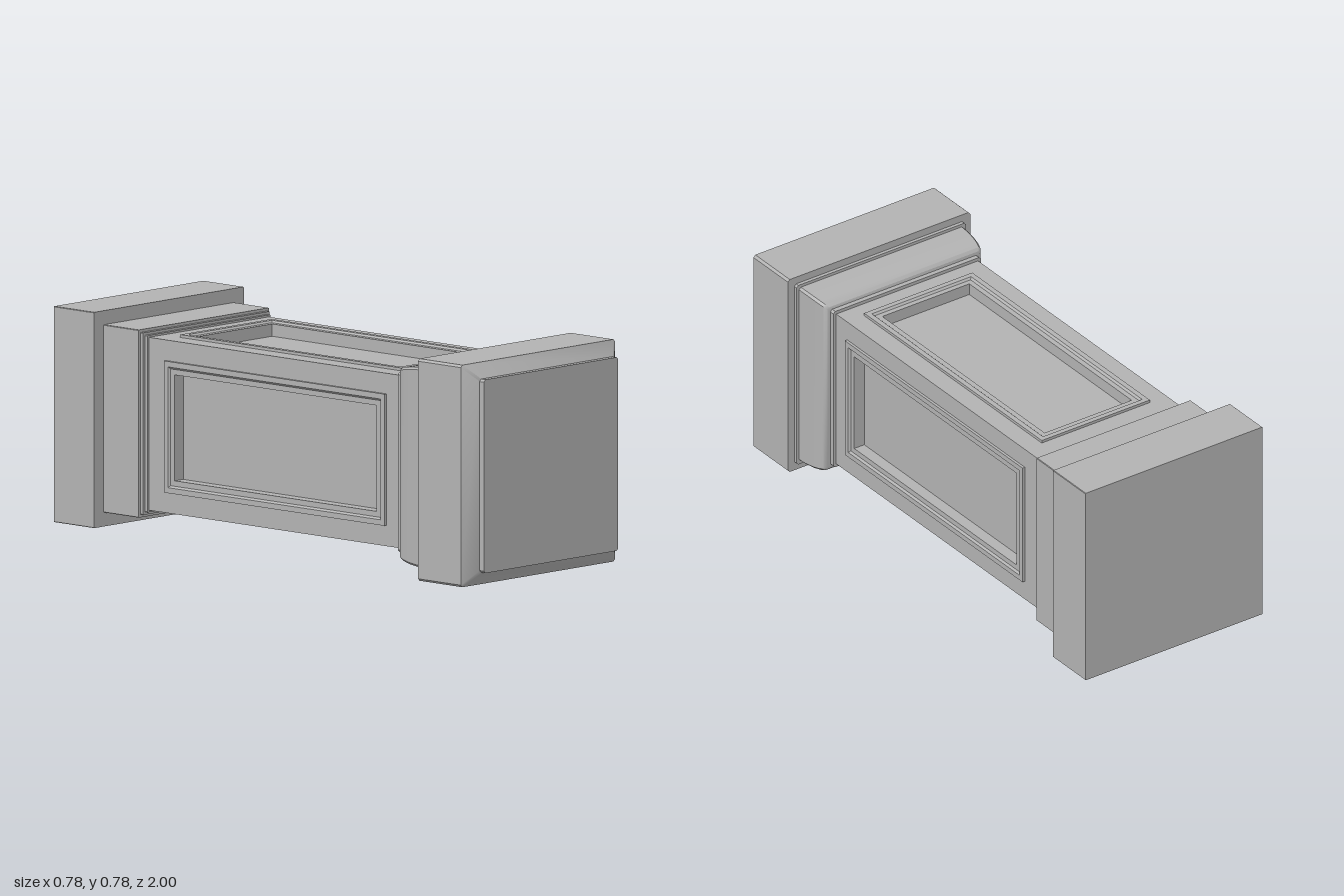
import * as THREE from 'three';
import { toCreasedNormals } from 'three/addons/utils/BufferGeometryUtils.js';

const MID = 0.39; // height of the long axis

// Square loft: profile is [halfWidth, height] from bottom to top,
// r cuts the corners, stretch lengthens the square along z.
function squareLoft(profile, r = 0, stretch = 0) {
  const geo = new THREE.LatheGeometry(profile.map(([h, y]) => new THREE.Vector2(h, y)), 8);
  const pos = geo.attributes.position;
  for (let v = 0; v < pos.count; v++) {
    const i = Math.floor(v / profile.length) % 8;
    const h = profile[v % profile.length][0];
    const c = Math.max(h - r, 0);
    const sx = i < 4 ? 1 : -1;
    const sz = i < 2 || i > 5 ? 1 : -1;
    const onX = i % 4 === 1 || i % 4 === 2; // vertex lies on an x side
    pos.setX(v, sx * (onX ? h : c));
    pos.setZ(v, sz * ((onX ? c : h) + stretch));
  }
  return toCreasedNormals(geo, 0.6);
}

function rectangle(target, hx, hy) {
  target.moveTo(-hx, -hy);
  target.lineTo(hx, -hy);
  target.lineTo(hx, hy);
  target.lineTo(-hx, hy);
  target.closePath();
  return target;
}

export function createModel() {
  const model = new THREE.Group();
  model.name = 'pedestal';
  const stone = new THREE.MeshStandardMaterial({ color: 0xb2b2b2 });
  stone.name = 'grey stone';

  const add = (parent, name, geo) => {
    const mesh = new THREE.Mesh(geo, stone);
    mesh.name = name;
    parent.add(mesh);
    return mesh;
  };

  // Stepped base at the back
  const base = add(model, 'steppedBase', squareLoft([
    [0, -1], [0.377, -1], [0.377, -0.81], [0.328, -0.81], [0.328, -0.645],
    [0.318, -0.645], [0.318, -0.632], [0.309, -0.632], [0.309, -0.62], [0, -0.62],
  ], 0.002));

  // Moulded capital at the front, with its chamfered end
  const capital = add(model, 'mouldedCapital', squareLoft([
    [0, 0.57], [0.314, 0.57], [0.314, 0.588], [0.325, 0.59], [0.334, 0.6],
    [0.34, 0.62], [0.345, 0.65], [0.349, 0.69], [0.35, 0.722], [0.361, 0.722],
    [0.361, 0.735], [0.388, 0.735], [0.388, 0.938], [0.34, 0.98], [0.338, 0.98],
    [0.338, 1], [0, 1],
  ], 0.008));

  for (const block of [base, capital]) {
    block.rotation.x = Math.PI / 2;
    block.position.y = MID;
  }

  // Shaft: four faces, each with an opening for a sunken framed panel
  const faceShape = rectangle(new THREE.Shape(), 0.302, 0.61);
  faceShape.holes.push(rectangle(new THREE.Path(), 0.21, 0.5025));
  const faceGeo = new THREE.ShapeGeometry(faceShape);
  faceGeo.rotateX(-Math.PI / 2);
  faceGeo.translate(0, 0.302, 0);
  const panelGeo = squareLoft([
    [0.23, 0.3], [0.23, 0.312], [0.211, 0.312], [0.204, 0.305],
    [0.185, 0.305], [0.185, 0.262], [0, 0.262],
  ], 0, 0.2925);

  for (let k = 0; k < 4; k++) {
    const side = new THREE.Group();
    side.name = 'shaftSide' + (k + 1);
    add(side, 'shaftFace', faceGeo);
    add(side, 'sunkenPanel', panelGeo);
    side.rotation.z = k * Math.PI / 2;
    side.position.set(0, MID, -0.0175);
    model.add(side);
  }
  return model;
}
